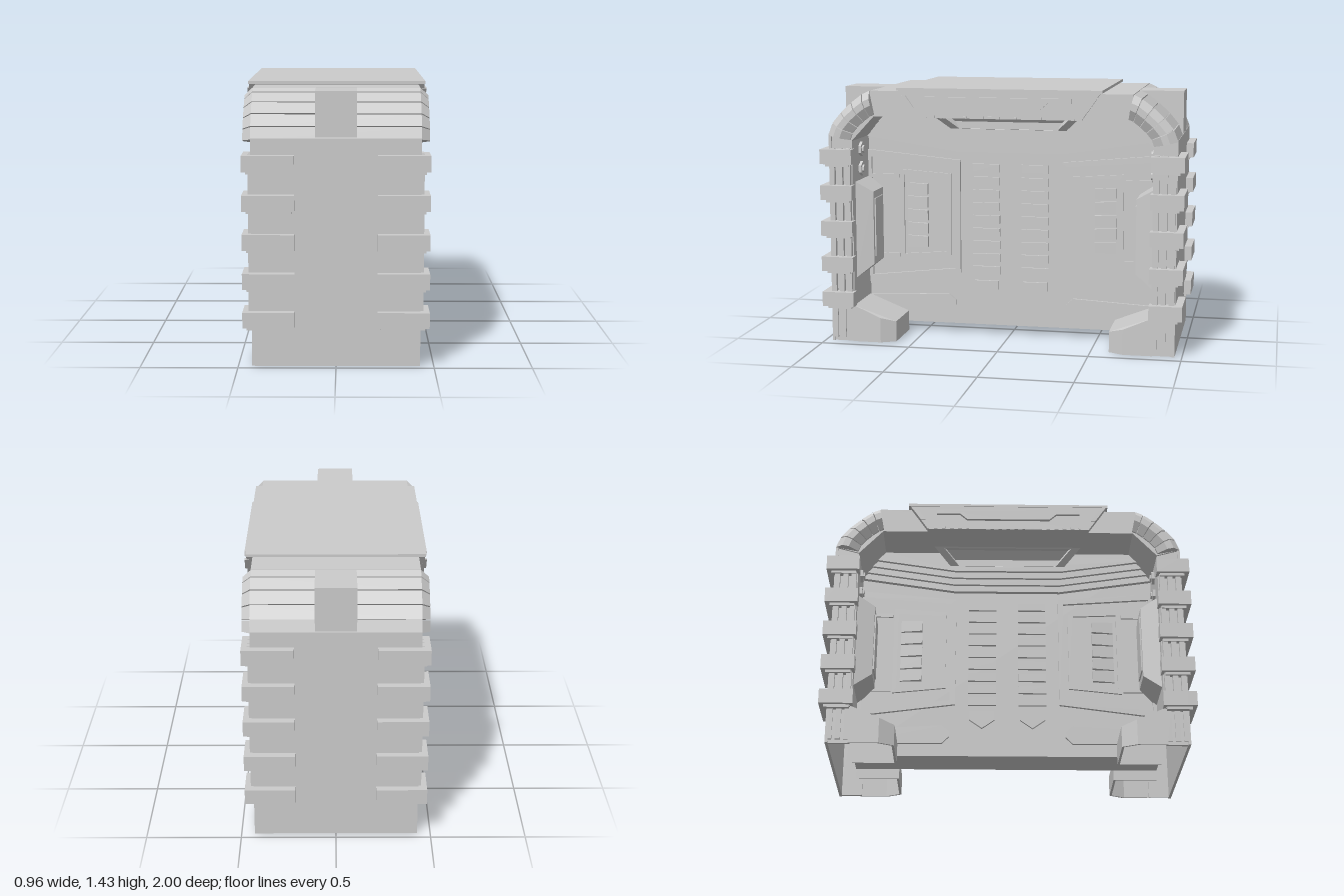
import * as THREE from 'three';
import { ConvexGeometry } from 'three/addons/geometries/ConvexGeometry.js';

const material = new THREE.MeshStandardMaterial({ color: 0xcccccc, flatShading: true });
const SIDES = [-1, 1];

export function createModel() {
  const model = new THREE.Group();

  const add = (name, geometry) => {
    const mesh = new THREE.Mesh(geometry, material);
    mesh.name = name;
    model.add(mesh);
    return mesh;
  };
  // Box given by its limits on each axis
  const box = (name, x0, x1, y0, y1, z0, z1) => {
    const g = new THREE.BoxGeometry(Math.abs(x1 - x0), y1 - y0, Math.abs(z1 - z0));
    g.translate((x0 + x1) / 2, (y0 + y1) / 2, (z0 + z1) / 2);
    return add(name, g);
  };
  // Outline of [z, y] points, extruded along x, optionally with a hole
  const prism = (name, points, x0, x1, hole) => {
    const toVectors = (list) => list.map(([z, y]) => new THREE.Vector2(z, y));
    const shape = new THREE.Shape(toVectors(points));
    if (hole) shape.holes.push(new THREE.Path(toVectors(hole)));
    const g = new THREE.ExtrudeGeometry(shape, { depth: Math.abs(x1 - x0), bevelEnabled: false });
    g.rotateY(-Math.PI / 2);
    g.translate(Math.max(x0, x1), 0, 0);
    return add(name, g);
  };
  const hull = (name, points) =>
    add(name, new ConvexGeometry(points.map((p) => new THREE.Vector3(...p))));
  // Symmetric [z, y] outline from its +z half
  const mirrored = (half) => [...half, ...half.map(([z, y]) => [-z, y]).reverse()];

  // Thin central core and the roof with its stepped underside
  box('core', -0.105, 0.105, 0.05, 1.3, -0.84, 0.84);
  prism('roof', mirrored([[0.72, 1.41], [0.74, 1.27]]), -0.43, 0.43);
  for (let i = 0; i < 4; i++) {
    const w = 0.13 + 0.018 * i, y = 1.05 + 0.035 * i;
    prism('roofStep', mirrored([[0.76, 1.3], [0.84, y + 0.08], [0.3, y]]), -w, w);
  }

  // Top cover
  prism('topCover', mirrored([[0.56, 1.43], [0.45, 1.27]]), -0.45, 0.45);
  box('topPlate', -0.465, 0.465, 1.415, 1.43, -0.56, 0.56);

  for (const sx of SIDES) {
    // Cover side plate with the stepped rail and teeth
    prism('coverSidePlate', mirrored([[0.55, 1.415], [0.45, 1.27]]), sx * 0.45, sx * 0.462);
    prism('coverRail', mirrored([[0.4, 1.385], [0.4, 1.36], [0.27, 1.36], [0.23, 1.325]]),
      sx * 0.45, sx * 0.48, mirrored([[0.36, 1.38], [0.36, 1.37], [0.25, 1.37], [0.22, 1.335]]));
    for (let i = 0; i < 19; i++) {
      const z = -0.405 + i * 0.045;
      box('coverTooth', sx * 0.44, sx * 0.466, 1.27, 1.283, z - 0.01, z + 0.01);
    }
    // Slanted tray hanging under the overhang: a rim around a recessed face
    const trayPoint = (z, t, depth = 0) =>
      [sx * (0.27 - 0.1 * t - depth), 1.28 - 0.11 * t + depth, z];
    for (const sz of SIDES) {
      hull('trayEnd', [[0.43, 0], [0.38, 0], [0.31, 1], [0.26, 1]].flatMap(([z, t]) =>
        [trayPoint(sz * z, t), trayPoint(sz * z, t, 0.05)]));
    }
    for (const [t0, t1, z0, z1] of [[0, 0.15, 0.43, 0.41], [0.85, 1, 0.33, 0.31]]) {
      hull('trayEdge', [[z0, t0], [-z0, t0], [z1, t1], [-z1, t1]].flatMap(([z, t]) =>
        [trayPoint(z, t), trayPoint(z, t, 0.05)]));
    }
    hull('trayBack', [[0.4, 0], [-0.4, 0], [0.28, 1], [-0.28, 1]].flatMap(([z, t]) =>
      [trayPoint(z, t, 0.02), trayPoint(z, t, 0.05)]));

    for (const sz of SIDES) {
      const m = (list) => list.map(([z, y]) => [sz * z, y]);

      // Slanted bracket beside the cover
      prism('coverBracket', m([[0.535, 1.39], [0.49, 1.325], [0.465, 1.325], [0.51, 1.39]]),
        sx * 0.45, sx * 0.472);

      // Vent column ending in a pentagon
      for (let i = 0; i < 9; i++) {
        const y = 0.37 + i * 0.0735;
        box('ventBar', sx * 0.1, sx * 0.12, y - 0.023, y + 0.023, sz * 0.062, sz * 0.218);
      }
      prism('ventPoint', m([[0.07, 0.31], [0.21, 0.31], [0.21, 0.26], [0.14, 0.21], [0.07, 0.26]]),
        sx * 0.1, sx * 0.12);

      // Framed side panel, inner window and louvres
      prism('panelFrame', m([[0.83, 1.05], [0.29, 1.0], [0.29, 0.35], [0.83, 0.28]]),
        sx * 0.1, sx * 0.122, m([[0.81, 1.01], [0.32, 0.975], [0.32, 0.375], [0.81, 0.32]]));
      prism('windowFrame', m([[0.64, 0.94], [0.345, 0.92], [0.345, 0.45], [0.64, 0.42]]),
        sx * 0.1, sx * 0.117, m([[0.62, 0.91], [0.375, 0.9], [0.375, 0.47], [0.62, 0.45]]));
      for (let i = 0; i < 5; i++) {
        const y = 0.525 + i * 0.076;
        hull('louvre', [[0.48, 0.03, 0.128], [0.6, 0.034, 0.117]].flatMap(([z, h, x]) =>
          [[sx * x, y + h, sz * z], [sx * x, y - h, sz * z],
            [sx * 0.1, y + h, sz * z], [sx * 0.1, y - h, sz * z]]));
      }
      for (const y of [0.44, 0.9]) {
        box('panelStrip', sx * 0.1, sx * 0.117, y - 0.01, y + 0.01, sz * 0.65, sz * 0.82);
      }
      prism('lowerPlate', m([[0.83, 0.2], [0.36, 0.225], [0.32, 0.19], [0.32, 0.16], [0.36, 0.12], [0.83, 0.12]]),
        sx * 0.1, sx * 0.12);

      // Inner cushion block on the end wall, with a raised face
      const ring = (x0, x1, y0, y1, z) =>
        [[x0, y0], [x0, y1], [x1, y0], [x1, y1]].map(([x, y]) => [sx * x, y, sz * z]);
      hull('innerBlock', [...ring(0.1, 0.37, 0.35, 0.9, 0.835), ...ring(0.155, 0.345, 0.43, 0.84, 0.735)]);
      box('innerBlockFace', sx * 0.18, sx * 0.325, 0.47, 0.8, sz * 0.728, sz * 0.75);

      // Hexagonal bolts
      for (const y of [0.96, 1.07]) {
        for (const [r, d] of [[0.04, 0.015], [0.022, 0.025]]) {
          const bolt = new THREE.CylinderGeometry(r, r, d, 6);
          bolt.rotateX(Math.PI / 2);
          bolt.translate(sx * 0.27, y, sz * (0.83 - d / 2));
          add('hexBolt', bolt);
        }
      }

      // Hollow foot, open below: sloped top and thin walls with a chamfered corner
      const plan = [[0.43, 0.84, 0.21], [0.43, 0.68, 0.14], [0.39, 0.6, 0.115], [0.12, 0.6, 0.115], [0.12, 0.84, 0.21]];
      const footPoint = ([x, z], y, inset) =>
        [sx * (0.275 + (x - 0.275) * (1 - inset)), y, sz * (0.84 - (0.84 - z) * (1 - inset))];
      hull('footTop', plan.flatMap((p) => [footPoint(p, p[2], 0), footPoint(p, p[2] - 0.012, 0)]));
      for (let i = 0; i < 4; i++) {
        hull('footWall', [plan[i], plan[i + 1]].flatMap((p) =>
          [0, 0.05].flatMap((inset) => [footPoint(p, 0, inset), footPoint(p, p[2] - 0.004, inset)])));
      }

      // Vertical rails on the edge of the end wall
      for (const z of [0.85, 0.895, 0.94]) {
        box('edgeRail', sx * 0.41, sx * 0.445, 0.2, 1.09, sz * (z - 0.014), sz * (z + 0.014));
        box('lowerEdgeRail', sx * 0.41, sx * 0.43, 0.02, 0.2, sz * (z - 0.014), sz * (z + 0.014));
      }
      box('endWallSide', sx * 0.405, sx * 0.42, 0, 1.17, sz * 0.83, sz * 0.95);

      // Ribs clasping the corner, each over a thinner lip
      for (let i = 0; i < 5; i++) {
        const y = 0.205 + i * 0.2;
        box('ribFront', sx * 0.21, sx * 0.475, y, y + 0.082, sz * 0.95, sz);
        box('ribSide', sx * 0.41, sx * 0.475, y, y + 0.082, sz * 0.82, sz * 0.95);
        box('ribLipFront', sx * 0.225, sx * 0.455, y - 0.015, y, sz * 0.95, sz * 0.975);
        box('ribLipSide', sx * 0.41, sx * 0.455, y - 0.015, y, sz * 0.84, sz * 0.95);
      }
    }
  }

  // Hollow end walls, rounded corners with ridged pads, and the centre blocks
  const curve = [[0.96, 1.165], [0.935, 1.23], [0.885, 1.29], [0.825, 1.345], [0.765, 1.39], [0.72, 1.41]];
  const inward = ([z, y], t) => [z + (0.66 - z) * t, y + (1.1 - y) * t];
  for (const sz of SIDES) {
    box('endFace', -0.43, 0.43, 0, 1.17, sz * 0.945, sz * 0.96);
    box('endWallInner', -0.42, 0.42, 0.18, 1.17, sz * 0.83, sz * 0.845);
    const base = [...curve.map((p) => inward(p, 0.04)), [0.7, 1.27], [0.83, 1.13]];
    prism('cornerCore', base.map(([z, y]) => [sz * z, y]), -0.43, 0.43);

    for (let i = 0; i < 5; i++) {
      const [a, b] = [curve[i], curve[i + 1]];
      const mix = (t) => [a[0] + (b[0] - a[0]) * t, a[1] + (b[1] - a[1]) * t];
      const points = [];
      for (const end of [mix(0), mix(0.92)]) {
        for (const [t, w] of [[0, 0.43], [0.13, 0.472], [0.25, 0.472], [0.42, 0.44]]) {
          const [z, y] = inward(end, t);
          points.push([w, y, sz * z], [-w, y, sz * z]);
        }
      }
      hull('cornerPad', points);
    }
    box('centreBlock', -0.105, 0.105, 1.175, 1.408, sz * 0.72, sz * 0.962);
  }
  return model;
}
